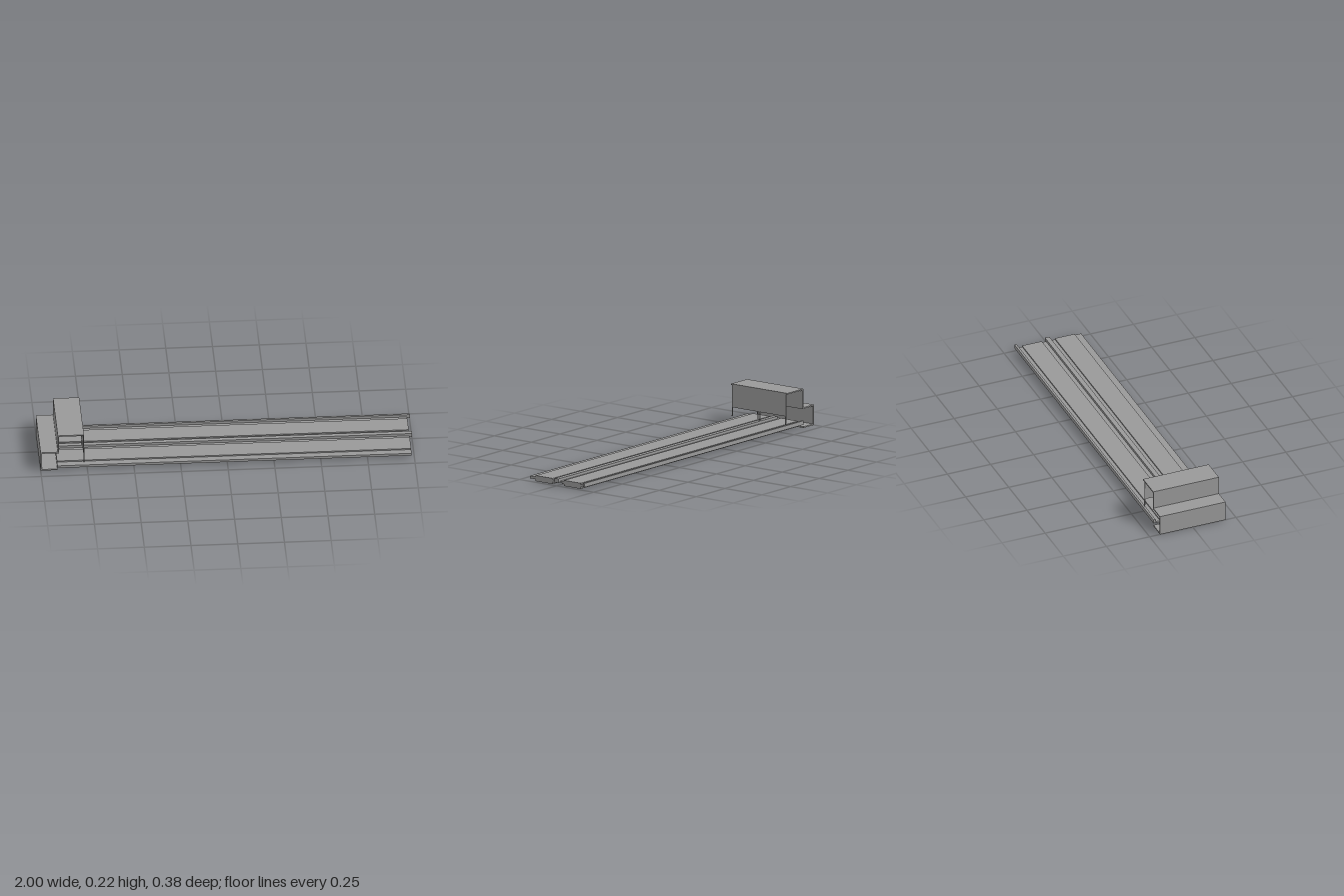
import * as THREE from 'three';

const steel = new THREE.MeshStandardMaterial({ color: 0x999999 });
steel.name = 'grey steel';

const shapeOf = (pts) => new THREE.Shape(pts.map(([a, b]) => new THREE.Vector2(a, b)));

function addMesh(parent, name, geometry) {
  const mesh = new THREE.Mesh(geometry, steel);
  mesh.name = name;
  parent.add(mesh);
  return mesh;
}

// Extrude a [z, y] cross-section along x from x0 to x1
function alongX(pts, x0, x1) {
  const shape = shapeOf(pts.map(([z, y]) => [-z, y]));
  const g = new THREE.ExtrudeGeometry(shape, { depth: x1 - x0, bevelEnabled: false });
  return g.rotateY(Math.PI / 2).translate(x0, 0, 0);
}

// Extrude an [x, y] cross-section along z, centred on z = 0
function alongZ(pts, width) {
  const g = new THREE.ExtrudeGeometry(shapeOf(pts), { depth: width, bevelEnabled: false });
  return g.translate(0, 0, -width / 2);
}

export function createModel() {
  const model = new THREE.Group();
  model.name = 'panelWithEndCover';
  const start = -0.91, end = 0.985, halfWidth = 0.19;

  // Two thick panels with thinner stepped flanges on both edges
  const panels = [
    { name: 'frontPanel', z0: 0.19, m0: 0.152, m1: 0.038, z1: 0.004 },
    { name: 'backPanel', z0: -0.004, m0: -0.038, m1: -0.152, z1: -0.186 },
  ];
  panels.forEach(({ name, z0, m0, m1, z1 }, i) => {
    const tongue = i === 0 ? [[z0, 0.0125]] : [[z0, 0.019], [z0 - 0.022, 0.019], [z0 - 0.022, 0.0125]];
    addMesh(model, name, alongX([
      [z0, 0.026], ...tongue,
      [m0, 0.0125], [m0, 0.002], [m1, 0.002], [m1, 0.0125],
      [z1 + 0.02, 0.0125], [z1 + 0.02, 0.019], [z1, 0.019], [z1, 0.026],
      [m1, 0.026], [m1, 0.033], [m0, 0.033], [m0, 0.026],
    ], start, end));
  });

  // Raised seams, slightly longer than the panels
  const seam = (name, z0, z1) =>
    addMesh(model, name, alongX([[z0, 0.018], [z1, 0.018], [z1, 0.04], [z0, 0.04]], start, 1));
  seam('centreSeam', 0.013, -0.013);
  seam('edgeSeam', -0.178, -halfWidth);

  // Stepped end cover, a thin folded sheet open at both sides
  const cover = new THREE.Group();
  cover.name = 'endCover';
  model.add(cover);
  const t = 0.007, back = -1, riser = -0.908, front = -0.768, step = 0.112, top = 0.215;
  addMesh(cover, 'foldedSheet', alongZ([
    [start, 0], [start, t], [back + t, t], [back + t, step - t],
    [riser + t, step - t], [riser + t, top - t], [front, top - t], [front, top],
    [riser, top], [riser, step], [back, step], [back, 0],
  ], halfWidth * 2));

  // Front flap, notched at its lower edge to straddle the panels and seams
  const drop = top - t, low = 0.04, notch = 0.088;
  const comb = [[0.182, drop], [0.182, low]];
  for (const [a, b] of [[0.178, 0.009], [0.005, -0.005], [-0.009, -0.178]]) {
    comb.push([a, low], [a, notch], [b, notch], [b, low]);
  }
  comb.push([-0.182, low], [-0.182, drop]);
  const flapGeometry = alongX(comb.map(([z, y]) => [z, y - drop]), -0.005, 0);
  const flap = addMesh(cover, 'notchedFlap', flapGeometry);
  flap.position.set(front, drop, 0);
  flap.rotation.z = 0.025;

  return model;
}
